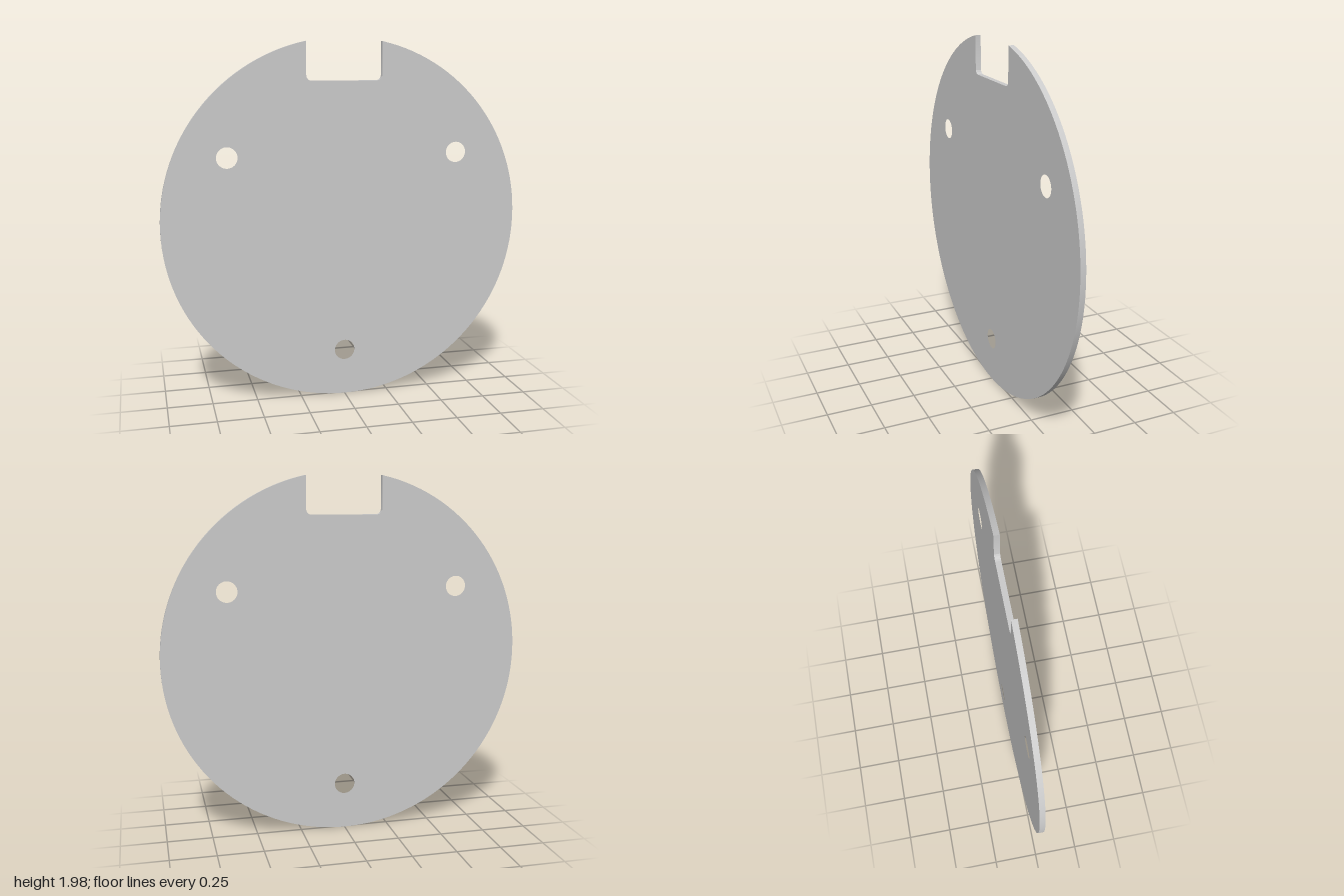
import * as THREE from 'three';
import { toCreasedNormals } from 'three/addons/utils/BufferGeometryUtils.js';

const RADIUS = 1;
const THICKNESS = 0.03;
const NOTCH_HALF = 0.21; // half width of the slot
const NOTCH_FLOOR = 0.77; // slot floor above the disc centre
const FILLET = 0.03;
const HOLE_RADIUS = 0.057;
const HOLE_CIRCLE = 0.74;

export function createModel() {
  const group = new THREE.Group();
  group.name = 'notchedDisc';

  // Disc outline: long way round the rim, then the filleted slot
  const outline = new THREE.Shape();
  const start = Math.acos(NOTCH_HALF / RADIUS);
  outline.absarc(0, 0, RADIUS, start, Math.PI - start, true);
  outline.lineTo(-NOTCH_HALF, NOTCH_FLOOR + FILLET);
  outline.absarc(-NOTCH_HALF + FILLET, NOTCH_FLOOR + FILLET, FILLET, Math.PI, 1.5 * Math.PI, false);
  outline.lineTo(NOTCH_HALF - FILLET, NOTCH_FLOOR);
  outline.absarc(NOTCH_HALF - FILLET, NOTCH_FLOOR + FILLET, FILLET, -0.5 * Math.PI, 0, false);
  outline.closePath();

  // Three bolt holes, evenly spaced
  for (let i = 0; i < 3; i++) {
    const a = -Math.PI / 2 + (i * 2 * Math.PI) / 3;
    const hole = new THREE.Path();
    hole.absarc(HOLE_CIRCLE * Math.cos(a), HOLE_CIRCLE * Math.sin(a), HOLE_RADIUS, 0, 2 * Math.PI, true);
    outline.holes.push(hole);
  }

  // Flat plate, standing upright
  const geometry = new THREE.ExtrudeGeometry(outline, {
    depth: THICKNESS, bevelEnabled: false, curveSegments: 64,
  });
  geometry.translate(0, RADIUS, -THICKNESS / 2);

  const plate = new THREE.Mesh(
    toCreasedNormals(geometry, 0.5),
    new THREE.MeshStandardMaterial({ color: 0xcccccc }),
  );
  plate.name = 'plate';
  group.add(plate);
  return group;
}
